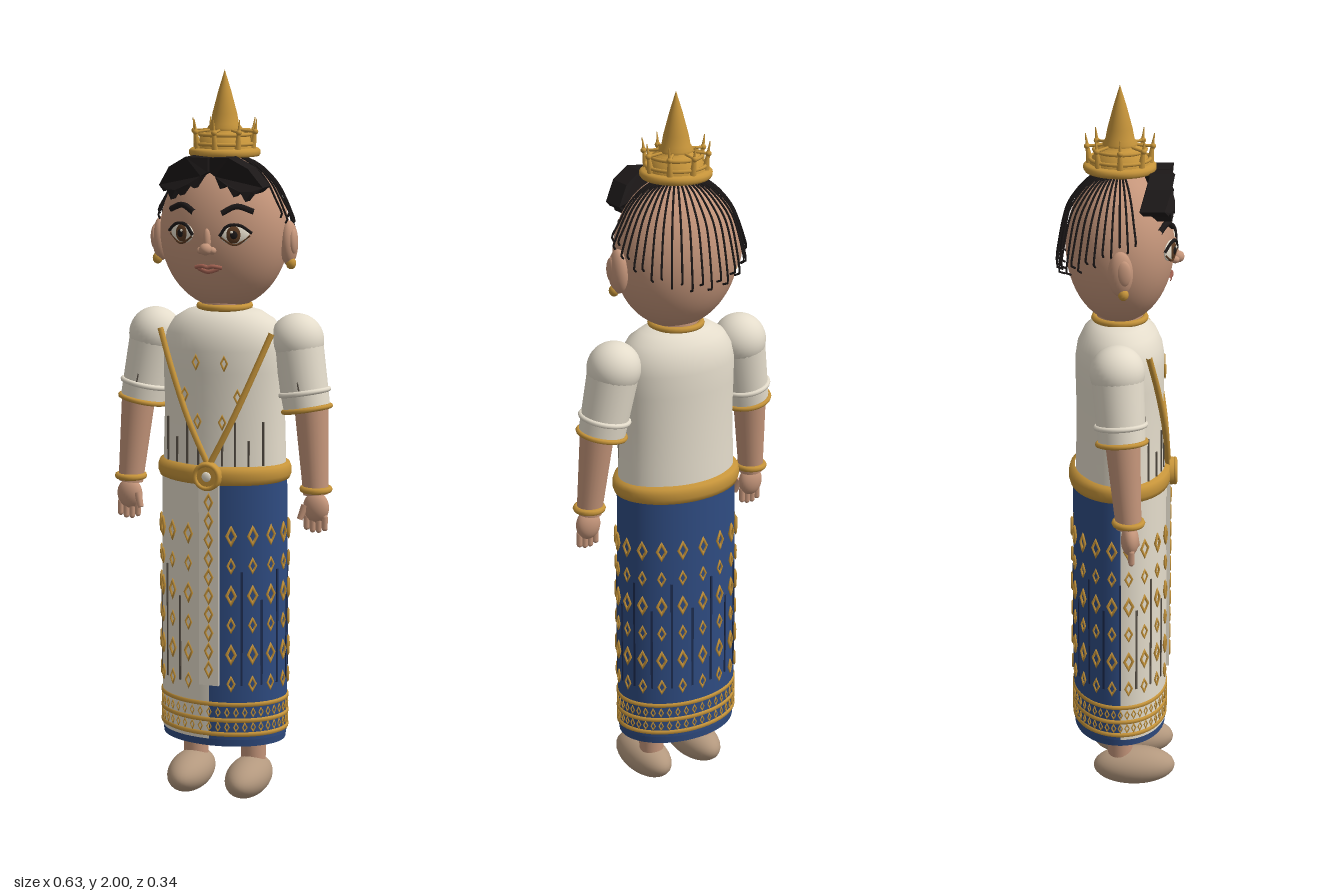
import * as THREE from 'three';

const mat = (name, color, extra = {}) => Object.assign(new THREE.MeshStandardMaterial({ color, ...extra }), { name });
const V = (x, y, z) => new THREE.Vector3(x, y, z);

export function createModel() {
  const M = {
    skin: mat('skin', 0xc4957a), gold: mat('gold', 0xc6943a), ivory: mat('ivory', 0xe4dccb),
    blue: mat('blue cloth', 0x2f4c82), hair: mat('hair', 0x1c1818), iris: mat('iris', 0x5a3a22),
    lip: mat('lip', 0xa06050), navy: mat('navy pleat', 0x1c2c50), shoe: mat('shoe', 0xb3987e),
    fold: mat('cloth fold', 0x5a5248),
  };
  const root = new THREE.Group();

  // Helpers
  const add = (name, geo, m, pos = [0, 0, 0], scale = [1, 1, 1], parent = root) => {
    const o = new THREE.Mesh(geo, m);
    o.name = name;
    o.position.set(...pos);
    o.scale.set(...scale);
    parent.add(o);
    return o;
  };
  const group = (name, parent = root) => {
    const g = new THREE.Group();
    g.name = name;
    parent.add(g);
    return g;
  };
  const ball = new THREE.SphereGeometry(1, 32, 20), bead = new THREE.SphereGeometry(1, 12, 8);
  const limb = (name, a, b, ra, rb, m, parent, sides = 24) => {
    const o = add(name, new THREE.CylinderGeometry(rb, ra, a.distanceTo(b), sides), m, [0, 0, 0], [1, 1, 1], parent);
    o.position.copy(a).lerp(b, 0.5);
    o.quaternion.setFromUnitVectors(V(0, 1, 0), b.clone().sub(a).normalize());
    return o;
  };
  const tube = (name, pts, r, m, parent, seg = 16, sides = 6) =>
    add(name, new THREE.TubeGeometry(new THREE.CatmullRomCurve3(pts), seg, r, sides), m, [0, 0, 0], [1, 1, 1], parent);
  const lathe = (name, pts, m, zScale = 1, start = 0, len = Math.PI * 2, parent = root) =>
    add(name, new THREE.LatheGeometry(pts.map(p => new THREE.Vector2(...p)), 48, start, len), m, [0, 0, 0], [1, 1, zScale], parent);
  const diamondGeo = new THREE.TorusGeometry(0.01, 0.0035, 4, 4);
  const diamond = (x, y, z, s, parent, turn = 0) =>
    add('diamond', diamondGeo, M.gold, [x, y, z], [s, s * 1.9, s], parent).rotation.y = turn;
  // Point and facing on the skirt's oval, t = 0 at the front
  const A = 0.177, B = 0.13;
  const oval = (t, off = 0.002) => [(A + off) * Math.sin(t), (B + off) * Math.cos(t), Math.atan2(Math.sin(t) / A, Math.cos(t) / B)];

  // Feet and legs
  for (const s of [-1, 1]) {
    add(s > 0 ? 'leftFoot' : 'rightFoot', ball, M.shoe, [s * 0.085, 0.058, 0.04], [0.059, 0.054, 0.115]);
    limb('leg', V(s * 0.085, 0.08, 0), V(s * 0.085, 0.2, 0), 0.034, 0.036, M.skin);
  }

  // Skirt: ivory front quarter, blue elsewhere, one blue rim and floor
  const skirt = group('skirt'), ratio = B / A;
  const side = [[0.177, 0.185], [0.178, 0.5], [0.175, 0.93]];
  lathe('ivorySkirt', side, M.ivory, ratio, Math.PI * 1.5, Math.PI / 2, skirt);
  lathe('blueSkirt', side, M.blue, ratio, 0, Math.PI * 1.5, skirt);
  lathe('skirtRim', [[0.174, 0.165], [0.177, 0.188]], M.blue, ratio, 0, Math.PI * 2, skirt);
  lathe('skirtFloor', [[0, 0.166], [0.174, 0.166]], M.blue, ratio, 0, Math.PI * 2, skirt).material = M.blue;
  for (const y of [0.2, 0.24, 0.285])
    lathe('hemBand', [[0.176, y - 0.007], [0.182, y - 0.004], [0.182, y + 0.004], [0.176, y + 0.007]], M.gold, ratio, 0, Math.PI * 2, skirt);
  for (let i = 0; i < 44; i++) {
    const [x, z, turn] = oval(i / 44 * Math.PI * 2);
    for (const y of [0.221, 0.263]) diamond(x, y, z, 0.6, skirt, turn);
  }
  // Diamond columns and pleat lines around the skirt
  for (let i = 1; i < 18; i++) {
    const t = i / 18 * Math.PI * 2, [x, z, turn] = oval(t, 0.003);
    for (let k = 0; k < 6; k++) diamond(x, 0.345 + k * 0.083, z, k % 2 ? 1.2 : 0.95, skirt, turn);
    const [px, pz, pt] = oval(t + 0.17, 0.001);
    const h = i % 2 ? 0.32 : 0.24, white = px < 0 && pz > 0;
    if (i < 17) add('pleat', new THREE.BoxGeometry(0.006, h, 0.004), white ? M.fold : M.navy,
      [px, 0.34 + h / 2, pz], [1, 1, 1], skirt).rotation.y = pt;
  }
  // Hanging front panel
  add('frontPanel', new THREE.BoxGeometry(0.056, 0.56, 0.009), M.ivory, [0.002, 0.62, 0.134], [1, 1, 1], skirt);
  for (let k = 0; k < 10; k++) diamond(0.002, 0.385 + k * 0.052, 0.139, 1.05, skirt);

  // Belt and buckle
  lathe('belt', [[0.17, 0.897], [0.182, 0.902], [0.187, 0.915], [0.187, 0.93], [0.182, 0.944], [0.165, 0.949]], M.gold, 0.75);
  add('buckle', new THREE.CylinderGeometry(0.037, 0.04, 0.016, 24), M.gold, [0, 0.925, 0.143]).rotation.x = Math.PI / 2;
  add('buckleRing', new THREE.TorusGeometry(0.033, 0.006, 8, 24), M.gold, [0, 0.925, 0.151]);
  add('buckleCentre', bead, M.ivory, [0, 0.925, 0.15], [0.014, 0.014, 0.006]);

  // Blouse
  const chestZ = (x, off = 0.003) => 0.121 * Math.sqrt(1 - (x / 0.175) ** 2) + off;
  lathe('blouse', [[0.173, 0.92], [0.171, 1.0], [0.168, 1.1], [0.171, 1.2], [0.172, 1.26], [0.163, 1.3],
    [0.14, 1.335], [0.105, 1.357], [0.065, 1.368], [0, 1.37]], M.ivory, 0.7);
  for (let i = -4; i <= 4; i++) {
    if (!i) continue;
    const x = i * 0.034, h = 0.12 - Math.abs(i % 2) * 0.05;
    add('blouseFold', new THREE.BoxGeometry(0.005, h, 0.005), M.fold, [x, 0.95 + h / 2, chestZ(x, 0)]);
  }
  for (const s of [-1, 1]) {
    for (const [x, y] of [[0.04, 1.23], [0.075, 1.14], [0.035, 1.07]]) diamond(s * x, y, chestZ(x), 0.9, root);
    tube('chestStrap', [V(s * 0.158, 1.31, 0.075), V(s * 0.115, 1.2, 0.1), V(s * 0.06, 1.07, 0.122), V(0, 0.95, 0.132)], 0.0085, M.gold, root, 20, 8);
  }

  // Neck and collar
  add('neck', new THREE.CylinderGeometry(0.06, 0.065, 0.1, 24), M.skin, [0, 1.38, 0]);
  add('collar', new THREE.TorusGeometry(0.068, 0.009, 8, 32), M.gold, [0, 1.37, 0]).rotation.x = Math.PI / 2;

  // Arms, built on +x and mirrored
  for (const s of [1, -1]) {
    const arm = group(s > 0 ? 'leftArm' : 'rightArm');
    arm.scale.x = s;
    const top = V(0.203, 1.283, -0.008), cuff = V(0.236, 1.1, 0.004), wrist = V(0.268, 0.87, 0.022);
    add('shoulderPuff', ball, M.ivory, top.toArray(), [0.073, 0.073, 0.073], arm);
    const sleeve = limb('sleeve', top, cuff, 0.07, 0.063, M.ivory, arm);
    for (const y of [0.082, 0.062]) {
      const band = add('sleeveBand', new THREE.TorusGeometry(0.064, 0.007, 8, 32), M.gold, [0, 0, 0], [1, 1, 1], arm);
      band.position.copy(top).lerp(cuff, y / 0.082);
      if (y < 0.08) { band.material = M.ivory; band.scale.setScalar(1.02); }
      band.quaternion.copy(sleeve.quaternion).multiply(new THREE.Quaternion().setFromAxisAngle(V(1, 0, 0), Math.PI / 2));
    }
    for (let i = 0; i < 4; i++)
      limb('sleeveFold', V(0.215 + i * 0.013, 1.24 - i % 2 * 0.03, 0.058 - i * 0.006), V(0.233 + i * 0.013, 1.15, 0.064 - i * 0.006), 0.003, 0.003, M.fold, arm, 5);
    limb('forearm', V(0.248, 1.12, 0.005), wrist, 0.047, 0.034, M.skin, arm);
    add('bracelet', new THREE.TorusGeometry(0.036, 0.009, 8, 24), M.gold, [0.268, 0.885, 0.021], [1, 1, 1], arm).rotation.x = Math.PI / 2;
    add('hand', ball, M.skin, [0.27, 0.835, 0.025], [0.036, 0.042, 0.024], arm);
    for (let i = 0; i < 4; i++)
      add('finger', new THREE.CapsuleGeometry(0.0085, 0.03, 4, 8), M.skin, [0.245 + i * 0.017, 0.795 - (i % 3 ? 0.006 : 0), 0.029], [1, 1, 1], arm);
    limb('thumb', V(0.242, 0.84, 0.035), V(0.23, 0.803, 0.045), 0.011, 0.008, M.skin, arm, 10);
  }

  // Head
  const head = group('head'), HX = 0.177, HY = 0.207, HZ = 0.144, CY = 1.57;
  const faceZ = (x, y) => HZ * Math.sqrt(1 - (x / HX) ** 2 - ((y - CY) / HY) ** 2);
  const onFace = (x, y, off) => V(x, y, faceZ(x, y) + off);
  add('skull', new THREE.SphereGeometry(1, 48, 32), M.skin, [0, CY, 0], [HX, HY, HZ], head);
  add('noseBridge', ball, M.skin, [0, 1.56, 0.143], [0.011, 0.032, 0.012], head);
  add('noseTip', ball, M.skin, [0, 1.538, 0.154], [0.017, 0.016, 0.017], head);
  tube('upperLip', [onFace(-0.037, 1.487, 0), onFace(-0.012, 1.491, 0.004), onFace(0, 1.488, 0.005), onFace(0.012, 1.491, 0.004), onFace(0.037, 1.487, 0)], 0.0055, M.lip, head);
  tube('lowerLip', [onFace(-0.028, 1.484, 0), onFace(0, 1.476, 0.004), onFace(0.028, 1.484, 0)], 0.006, M.lip, head);
  for (const s of [1, -1]) {
    const half = group(s > 0 ? 'leftFace' : 'rightFace', head);
    half.scale.x = s;
    add('nostril', bead, M.skin, [0.016, 1.534, 0.146], [0.011, 0.01, 0.012], half);
    // Eye parts stacked outward on a tilted plane
    const eye = group('eye', half);
    eye.position.copy(onFace(0.073, 1.577, 0));
    eye.rotation.y = 0.4;
    add('eyeWhite', ball, M.ivory, [0, 0, 0], [0.039, 0.027, 0.01], eye);
    add('iris', ball, M.iris, [-0.003, 0, 0.005], [0.021, 0.023, 0.008], eye);
    add('pupil', bead, M.hair, [-0.003, 0, 0.01], [0.011, 0.012, 0.005], eye);
    add('eyeGlint', bead, M.ivory, [-0.009, 0.008, 0.014], [0.004, 0.004, 0.002], eye);
    tube('upperLash', [V(-0.04, -0.004, 0.003), V(-0.02, 0.023, 0.008), V(0.012, 0.025, 0.008), V(0.045, 0.004, 0.002)], 0.0045, M.hair, eye);
    tube('lowerLid', [V(-0.038, -0.006, 0.003), V(0, -0.027, 0.006), V(0.04, -0.003, 0.002)], 0.003, M.iris, eye);
    tube('brow', [onFace(0.038, 1.632, 0.002), onFace(0.075, 1.65, 0.004), onFace(0.115, 1.636, 0.002)], 0.0085, M.hair, half);
    add('ear', ball, M.skin, [0.181, 1.545, 0], [0.024, 0.06, 0.033], half);
    add('innerEar', ball, M.skin, [0.196, 1.55, 0.008], [0.012, 0.035, 0.02], half);
    add('earring', bead, M.gold, [0.19, 1.492, 0.008], [0.014, 0.016, 0.014], half);
    // Chunky jagged fringe, bent back toward the temple
    const outline = [[0.003, 1.775], [0.06, 1.778], [0.11, 1.75], [0.145, 1.7], [0.128, 1.684], [0.118, 1.69], [0.104, 1.664],
      [0.09, 1.69], [0.074, 1.676], [0.055, 1.706], [0.036, 1.696], [0.02, 1.728], [0.003, 1.738]];
    const fringe = new THREE.ExtrudeGeometry(new THREE.Shape(outline.map(p => new THREE.Vector2(...p))), { depth: 0.065, bevelEnabled: false });
    const p = fringe.attributes.position;
    for (let i = 0; i < p.count; i++) p.setZ(i, p.getZ(i) + 0.078 - 4 * (p.getX(i) - 0.06) ** 2);
    fringe.computeVertexNormals();
    add('fringe', fringe, M.hair, [0, 0, 0], [1, 1, 1], half);
  }

  // Thin strands fanning from the crown down the back, each with a hooked end
  const strands = group('hairStrands', head), N = 27;
  for (let i = 0; i < N; i++) {
    const a = 1.3 + i / (N - 1) * (Math.PI * 2 - 2.6);
    const back = Math.max(0, -Math.cos(a)), end = 1.3 + 0.45 * back + (i % 2) * 0.08;
    const at = (t, off) => V((HX + off) * Math.sin(t) * Math.sin(a), CY + (HY + off) * Math.cos(t), (HZ + off) * Math.sin(t) * Math.cos(a));
    const pts = [0.25, 0.55, 0.85, 1.1].map(t => at(t, 0.003 + 0.01 * t * t * back));
    pts.push(at(end - 0.06, 0.008 + 0.018 * back), at(end, 0.011 + 0.018 * back), at(end + 0.05, 0.004 + 0.01 * back));
    tube('strand', pts, 0.003, M.hair, strands, 20, 5);
  }

  // Crown: stepped base, ringed drum, spire and eight beaded points
  const crown = group('crown');
  lathe('crownBase', [[0, 1.773], [0.092, 1.773], [0.096, 1.779], [0.096, 1.788], [0.09, 1.793], [0.08, 1.795]], M.gold, 1, 0, Math.PI * 2, crown);
  lathe('crownDrum', [[0.08, 1.794], [0.077, 1.806], [0.07, 1.81], [0.066, 1.828], [0.05, 1.834], [0.044, 1.842]], M.gold, 1, 0, Math.PI * 2, crown);
  lathe('spire', [[0.044, 1.838], [0.046, 1.848], [0.038, 1.858], [0.033, 1.885], [0.017, 1.945], [0, 2]], M.gold, 1, 0, Math.PI * 2, crown);
  for (const [r, y] of [[0.079, 1.806], [0.068, 1.83]])
    add('crownRing', new THREE.TorusGeometry(r, 0.005, 8, 40), M.gold, [0, y, 0], [1, 1, 1], crown).rotation.x = Math.PI / 2;
  for (let i = 0; i < 8; i++) {
    const a = i * Math.PI / 4, sx = Math.sin(a), cz = Math.cos(a);
    limb('crownPoint', V(0.078 * sx, 1.79, 0.078 * cz), V(0.09 * sx, 1.872, 0.09 * cz), 0.01, 0.001, M.gold, crown, 8);
    add('crownBead', bead, M.gold, [0.086 * sx, 1.838, 0.086 * cz], [0.008, 0.008, 0.008], crown);
    limb('crownSpoke', V(0.04 * sx, 1.842, 0.04 * cz), V(0.086 * sx, 1.838, 0.086 * cz), 0.004, 0.004, M.gold, crown, 6);
  }
  // Lathe floors face down
  root.traverse(o => { if (o.name === 'skirtFloor') o.position.y = 0; });
  return root;
}
